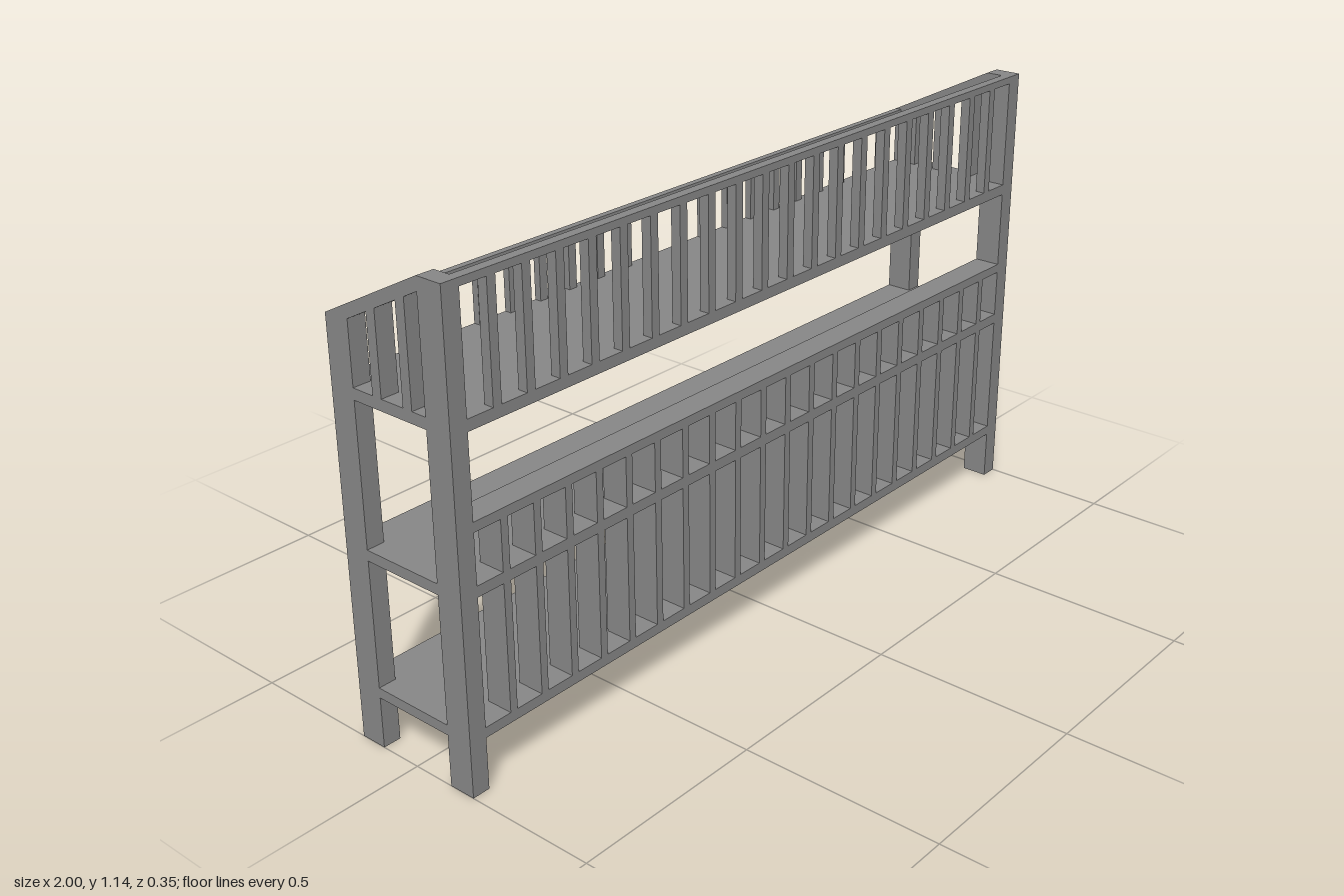
import * as THREE from 'three';

const material = new THREE.MeshStandardMaterial({ color: 0x878787, flatShading: true });
const OUT = 1, IN = 0.955;        // outer and inner x of the posts
const D = 0.175, P = 0.107;       // outer and inner z of the posts
const TOP = 1.145, BACK_TOP = 1.0;
const SHELVES = [[0.127, 0.152], [0.462, 0.488], [0.828, 0.855]];

// height of the sloping side rail's upper edge at depth z
const slope = (z) => BACK_TOP + (TOP - BACK_TOP) * (z + D) / (P + D);

export function createModel() {
  const group = new THREE.Group();

  const add = (name, geometry) => {
    const mesh = new THREE.Mesh(geometry, material);
    mesh.name = name;
    group.add(mesh);
    return mesh;
  };

  const box = (name, x0, x1, y0, y1, z0, z1) =>
    add(name, new THREE.BoxGeometry(x1 - x0, y1 - y0, z1 - z0))
      .position.set((x0 + x1) / 2, (y0 + y1) / 2, (z0 + z1) / 2);

  const outline = (points) => new THREE.Shape(points.map(([a, b]) => new THREE.Vector2(a, b)));

  // side profile given as [z, y], extruded across the post thickness
  const sidePart = (name, side, points) => {
    const g = new THREE.ExtrudeGeometry(outline(points.map(([z, y]) => [-z, y])),
      { depth: OUT - IN, bevelEnabled: false });
    g.rotateY(Math.PI / 2);
    g.translate(side > 0 ? IN : -OUT, 0, 0);
    add(name, g);
  };

  // row of evenly spaced slats of width w between the posts
  const slatRow = (name, w, y0, y1, z0, z1) => {
    const count = 20;
    const gap = (2 * IN - count * w) / (count + 1);
    for (let i = 0; i < count; i++) {
      const x = -IN + gap + i * (gap + w);
      box(name, x, x + w, y0, y1, z0, z1);
    }
  };

  // shelves, notched around the four posts
  for (const [y0, y1] of SHELVES) {
    const g = new THREE.ExtrudeGeometry(outline([
      [-IN, -D], [IN, -D], [IN, -P], [OUT, -P], [OUT, P], [IN, P],
      [IN, D], [-IN, D], [-IN, P], [-OUT, P], [-OUT, -P], [-IN, -P],
    ]), { depth: y1 - y0, bevelEnabled: false });
    g.rotateX(-Math.PI / 2);
    g.translate(0, y0, 0);
    add('shelf', g);
  }

  for (const side of [1, -1]) {
    const label = side > 0 ? 'left' : 'right';
    // posts and sloping top rail
    sidePart(label + 'FrontPost', side, [[P, 0], [D, 0], [D, TOP], [P, TOP]]);
    sidePart(label + 'BackPost', side, [[-D, 0], [-P, 0], [-P, slope(-P)], [-D, BACK_TOP]]);
    sidePart(label + 'SlopedRail', side,
      [[-P, slope(-P) - 0.032], [P, TOP - 0.032], [P, TOP], [-P, slope(-P)]]);
    // upright slats under the sloping rail
    for (const [z0, z1] of [[0.042, 0.068], [-0.048, -0.022]]) {
      const y = SHELVES[2][1];
      sidePart(label + 'SideSlat', side,
        [[z0, y], [z1, y], [z1, slope(z1) - 0.032], [z0, slope(z0) - 0.032]]);
    }
  }

  // long rails
  box('frontTopRail', -IN, IN, 1.127, TOP, 0.15, D);
  box('backTopRail', -IN, IN, 0.983, BACK_TOP, -D, -0.158);
  box('frontMiddleRail', -IN, IN, 0.609, 0.632, P, D);

  // slats
  slatRow('upperFrontSlat', 0.023, SHELVES[2][1], 1.127, 0.15, D);
  slatRow('upperBackSlat', 0.023, SHELVES[2][1], 0.983, -D, -0.158);
  slatRow('lowerFrontSlat', 0.02, SHELVES[0][1], SHELVES[1][0], P, D);
  slatRow('middleFrontSlat', 0.02, SHELVES[1][1], 0.609, P, D);

  return group;
}
